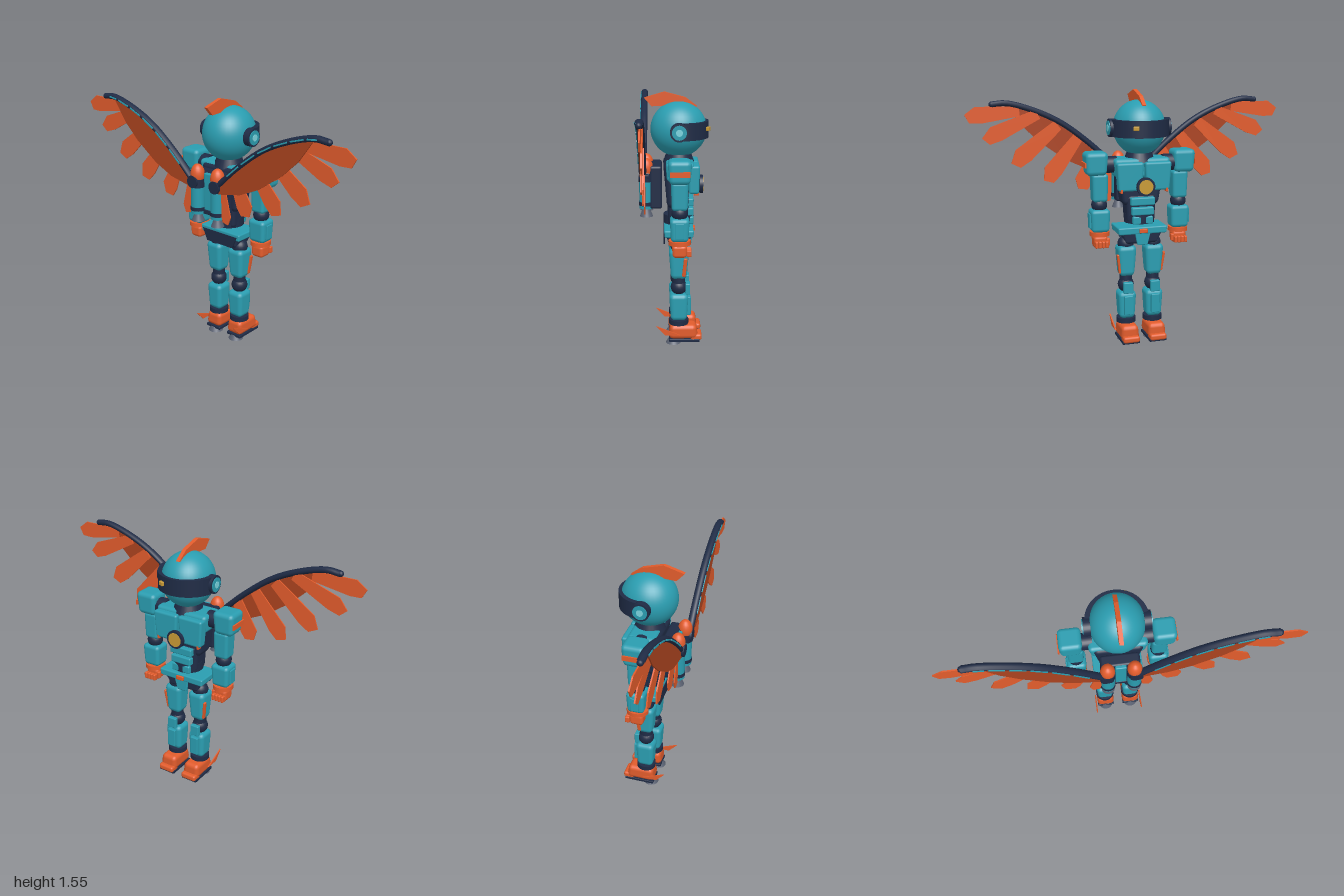
import * as THREE from 'three';
import { RoundedBoxGeometry } from 'three/addons/geometries/RoundedBoxGeometry.js';

const mat = (name, color, side = THREE.FrontSide) => {
  const m = new THREE.MeshStandardMaterial({ color, side });
  m.name = name;
  return m;
};

export function createModel() {
  const model = new THREE.Group();
  model.name = 'wingedRobot';
  const teal = mat('teal', 0x2a9db0);
  const navy = mat('navy', 0x1f2b45);
  const orange = mat('orange', 0xe25c2c);
  const rust = mat('rust', 0xab431f);
  const gold = mat('gold', 0xc89a35);
  const grey = mat('grey', 0x596070);
  const cyan = mat('paleCyan', 0x7ad3de);

  const add = (name, geo, material, x, y, z, parent = model) => {
    const m = new THREE.Mesh(geo, material);
    m.name = name;
    m.position.set(x, y, z);
    parent.add(m);
    return m;
  };
  // rounded box whose lower end is scaled by k (and upper end by t)
  const block = (w, h, d, k = 1, t = 1, r = 0.2) => {
    const g = new RoundedBoxGeometry(w, h, d, 2, Math.min(w, h, d) * r);
    const p = g.attributes.position, n = g.attributes.normal;
    for (let i = 0; i < p.count; i++) {
      const f = k + (t - k) * (p.getY(i) / h + 0.5);
      p.setX(i, p.getX(i) * f);
      p.setZ(i, p.getZ(i) * f);
    }
    n.needsUpdate = true;
    return g;
  };
  const cyl = (top, bottom, h, seg = 24) => new THREE.CylinderGeometry(top, bottom, h, seg);
  const disc = (r, depth, axis) => {
    const g = cyl(r, r, depth, 28);
    return axis === 'x' ? g.rotateZ(Math.PI / 2) : g.rotateX(Math.PI / 2);
  };
  const plate = (pts, depth) => new THREE.ExtrudeGeometry(
    new THREE.Shape(pts.map(([x, y]) => new THREE.Vector2(x, y))), { depth, bevelEnabled: false });

  // head and crest
  add('head', new THREE.SphereGeometry(0.165, 40, 28), teal, 0, 1.335, -0.03).scale.set(0.95, 1, 1.02);
  const crest = plate([[-0.175, 1.52], [-0.055, 1.555], [0.07, 1.522], [0.14, 1.47], [0.06, 1.46], [-0.03, 1.475], [-0.13, 1.47]], 0.024);
  add('headCrest', crest.translate(0, 0, -0.012).rotateY(Math.PI / 2), orange, 0, 0, 0);

  // visor wraps round the face, which looks towards -z
  const band = new THREE.Shape();
  band.absarc(0, 0, 0.178, 0.16, Math.PI - 0.16, false);
  band.absarc(0, 0, 0.14, Math.PI - 0.16, 0.16, true);
  const visor = new THREE.ExtrudeGeometry(band, { depth: 0.1, bevelEnabled: false, curveSegments: 32 });
  add('visor', visor.rotateX(-Math.PI / 2), navy, 0, 1.287, -0.03);
  add('visorLamp', block(0.034, 0.024, 0.018), gold, 0.068, 1.345, -0.202).rotation.y = -0.4;

  // neck and torso
  add('neck', cyl(0.07, 0.095, 0.07), navy, 0, 1.17, -0.03);
  add('torsoCore', block(0.29, 0.28, 0.16, 0.75, 1.05), navy, 0, 1.01, -0.02);
  add('upperChest', block(0.35, 0.12, 0.17, 0.9), teal, 0, 1.1, -0.035);
  add('abdomen', block(0.19, 0.18, 0.13, 0.9), navy, 0, 0.85, -0.025);
  add('waist', cyl(0.092, 0.092, 0.055), navy, 0, 0.79, -0.03);
  [0.9, 0.84, 0.785].forEach((y, i) =>
    add('abdomenPlate', block(0.15 - i * 0.012, 0.048, 0.04), teal, 0, y, -0.1));
  add('chestLampRing', disc(0.056, 0.02, 'z'), navy, 0, 0.998, -0.167);
  add('chestLamp', disc(0.043, 0.01, 'z'), gold, 0, 0.998, -0.175);

  // pelvis
  add('belt', block(0.31, 0.045, 0.18, 0.96), teal, 0, 0.722, -0.03);
  add('pelvis', block(0.27, 0.09, 0.165, 0.7), navy, 0, 0.68, -0.03);
  add('pelvisBackPlate', plate([[-0.135, 0.725], [0.135, 0.725], [0.1, 0.65], [-0.1, 0.65]], 0.008), navy, 0, 0, 0.055);
  add('pelvisFrontPlate', block(0.1, 0.08, 0.03, 0.6), teal, 0, 0.67, -0.1);
  add('beltBuckle', block(0.05, 0.025, 0.016), orange, 0, 0.722, -0.123);

  // backpack
  add('backpack', block(0.23, 0.26, 0.075), navy, 0, 1.0, 0.108);
  add('backpackSpine', block(0.065, 0.23, 0.035), teal, 0, 1.01, 0.145);
  add('backpackBase', block(0.2, 0.03, 0.05), navy, 0, 0.885, 0.14);

  // wing outlines for the +x side
  const sparPath = [[0.09, 1.07], [0.25, 1.22], [0.43, 1.355], [0.6, 1.435], [0.76, 1.478], [0.84, 1.472]];
  const covert = [...sparPath.slice(0, 5), [0.66, 1.335], [0.555, 1.235], [0.4, 1.125], [0.27, 1.065], [0.1, 1.03]];
  // root x, root y, tip x, tip y, width
  const feathers = [
    [0.68, 1.43, 1.0, 1.405, 0.1], [0.57, 1.41, 0.9, 1.265, 0.1], [0.45, 1.34, 0.73, 1.11, 0.11],
    [0.33, 1.26, 0.535, 1.0, 0.11], [0.21, 1.17, 0.32, 0.94, 0.11], [0.12, 1.08, 0.16, 0.85, 0.07],
  ];

  for (const s of [1, -1]) {
    const flip = (pts) => pts.map(([x, y]) => [s * x, y]);

    // wing
    const wing = new THREE.Group();
    wing.name = 'wing';
    model.add(wing);
    const curve = new THREE.CatmullRomCurve3(sparPath.map(([x, y]) => new THREE.Vector3(s * x, y, 0)));
    const spar = add('wingSpar', new THREE.TubeGeometry(curve, 30, 0.018, 10), navy, 0, 0, 0.185, wing);
    spar.scale.z = 1.25;
    add('wingSparTip', new THREE.SphereGeometry(0.018, 12, 8), navy, s * 0.84, 1.472, 0.185, wing);
    add('wingRoot', disc(0.038, 0.06, 'z'), navy, s * 0.085, 1.07, 0.18, wing);
    // light strips along the spar
    for (let i = 0; i < 6; i++) {
      const a = curve.getPoint(0.12 + i * 0.125), b = curve.getPoint(0.22 + i * 0.125);
      const strip = add('sparStrip', new THREE.BoxGeometry(a.distanceTo(b), 0.008, 0.008), teal,
        (a.x + b.x) / 2, (a.y + b.y) / 2, 0.207, wing);
      strip.rotation.z = Math.atan2(b.y - a.y, b.x - a.x);
    }
    add('wingCovert', plate(flip(covert), 0.008), rust, 0, 0, 0.186, wing);
    feathers.forEach(([x0, y0, x1, y1, w], i) => {
      const len = Math.hypot(x1 - x0, y1 - y0), ux = (x1 - x0) / len, uy = (y1 - y0) / len;
      const outline = [[0, -0.3], [0.72, -0.5], [0.93, -0.42], [1, 0.1], [0.8, 0.5], [0, 0.3]];
      const pts = outline.map(([u, v]) => [x0 + ux * u * len - uy * v * w, y0 + uy * u * len + ux * v * w]);
      add('feather', plate(flip(pts), 0.008), orange, 0, 0, 0.176 - (i % 2) * 0.006, wing);
    });

    // thruster
    const tx = s * 0.078, tz = 0.165;
    add('thrusterBody', cyl(0.042, 0.042, 0.19), teal, tx, 0.965, tz);
    add('thrusterBand', cyl(0.045, 0.045, 0.022), navy, tx, 0.9, tz);
    add('thrusterCollar', cyl(0.044, 0.044, 0.05), navy, tx, 1.06, tz);
    add('thrusterNose', new THREE.SphereGeometry(0.043, 20, 12), orange, tx, 1.11, tz).scale.y = 1.5;
    add('thrusterNozzle', cyl(0.02, 0.04, 0.05), grey, tx, 0.845, tz);

    // ear
    add('earPad', disc(0.054, 0.04, 'x'), navy, s * 0.168, 1.337, -0.03);
    add('earRing', disc(0.043, 0.008, 'x'), teal, s * 0.189, 1.337, -0.03);
    add('earLight', disc(0.02, 0.008, 'x'), cyan, s * 0.192, 1.337, -0.03);

    // chest plates
    add('chestPlate', block(0.165, 0.17, 0.07, 0.85), teal, s * 0.086, 1.055, -0.118);
    add('chestStripe', block(0.014, 0.11, 0.03), orange, s * 0.14, 1.015, -0.133);

    // arm
    const ax = s * 0.25, az = -0.03;
    add('shoulderJoint', disc(0.05, 0.08, 'x'), navy, s * 0.185, 1.12, az);
    add('shoulderPad', block(0.14, 0.14, 0.14, 0.85), teal, s * 0.272, 1.13, az);
    add('shoulderStripe', new THREE.BoxGeometry(0.009, 0.03, 0.115), orange, s * 0.342, 1.125, az);
    add('upperArm', block(0.098, 0.17, 0.1, 0.92), teal, ax, 0.985, az);
    add('elbow', new THREE.SphereGeometry(0.048, 20, 14), navy, ax, 0.88, az);
    add('forearm', block(0.12, 0.14, 0.115, 0.88), teal, ax, 0.785, az);
    add('forearmPlate', block(0.016, 0.09, 0.05), teal, s * 0.308, 0.785, az);
    add('cuff', cyl(0.06, 0.06, 0.026), orange, ax, 0.705, az).scale.z = 1.1;
    add('hand', block(0.088, 0.078, 0.09, 0.9, 1, 0.25), orange, ax, 0.655, az);
    for (let i = 0; i < 4; i++)
      add('finger', block(0.019, 0.04, 0.03, 1, 1, 0.3), orange, ax + (i - 1.5) * 0.021, 0.645, -0.085);
    add('thumb', block(0.022, 0.045, 0.026, 1, 1, 0.3), orange, ax - s * 0.045, 0.655, -0.06);

    // leg
    const lx = s * 0.086, lz = -0.03;
    add('hipJoint', new THREE.SphereGeometry(0.05, 20, 14), navy, lx, 0.63, lz);
    add('thigh', block(0.12, 0.195, 0.125, 0.76, 1.0, 0.25), teal, lx, 0.525, lz);
    const stripe = add('thighStripe', block(0.014, 0.12, 0.022), orange, s * 0.139, 0.51, -0.065);
    stripe.rotation.set(-0.1, 0, -s * 0.13);
    add('kneeUpper', cyl(0.038, 0.04, 0.05), navy, lx, 0.415, lz);
    add('knee', new THREE.SphereGeometry(0.05, 20, 14), navy, lx, 0.37, lz);
    add('kneeCap', block(0.06, 0.07, 0.03), teal, lx, 0.36, -0.085);
    add('shin', block(0.115, 0.175, 0.12, 0.82, 1, 0.25), teal, lx, 0.245, lz);
    add('shinPlate', block(0.055, 0.12, 0.025), teal, lx, 0.25, -0.092);
    add('ankle', cyl(0.06, 0.06, 0.03), navy, lx, 0.145, lz);
    add('shoe', block(0.115, 0.09, 0.18, 1.03, 0.9, 0.3), orange, lx, 0.085, -0.058);
    add('toeCap', block(0.105, 0.04, 0.07, 1, 1, 0.35), orange, lx, 0.05, -0.138);
    add('sole', block(0.11, 0.018, 0.19), navy, lx, 0.03, -0.065);
    add('heelNozzle', cyl(0.03, 0.047, 0.03), grey, lx, 0.015, 0.003);
    const fin = plate([[-0.11, 0.135], [0.035, 0.075], [-0.055, 0.075]], 0.008).translate(0, 0, -0.004);
    add('ankleFin', fin.rotateY(Math.PI / 2), orange, s * 0.153, 0, 0);
  }
  return model;
}
